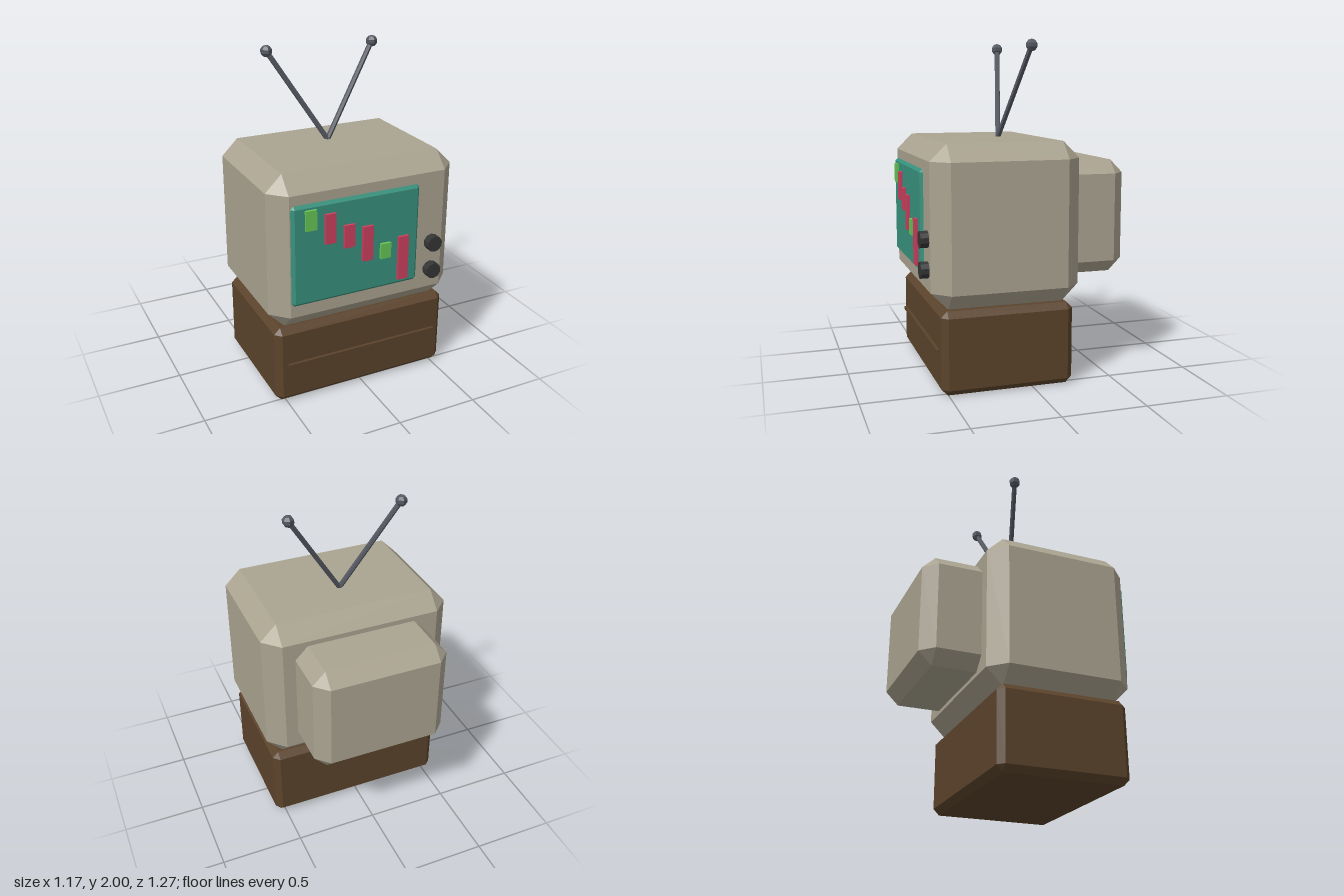
import * as THREE from 'three';
import { ConvexGeometry } from 'three/addons/geometries/ConvexGeometry.js';

const paint = (name, color) => {
  const m = new THREE.MeshStandardMaterial({ color, flatShading: true });
  m.name = name;
  return m;
};

// Box between two corners with every edge cut at 45 degrees
function chamferedBox(min, max, c) {
  const points = [];
  const mid = min.map((v, i) => (v + max[i]) / 2);
  const half = min.map((v, i) => (max[i] - v) / 2);
  for (const sx of [-1, 1]) for (const sy of [-1, 1]) for (const sz of [-1, 1]) {
    const s = [sx, sy, sz];
    for (let full = 0; full < 3; full++) {
      const p = s.map((sign, i) => mid[i] + sign * (half[i] - (i === full ? 0 : c)));
      points.push(new THREE.Vector3(...p));
    }
  }
  return new ConvexGeometry(points);
}

function plainBox(min, max) {
  const g = new THREE.BoxGeometry(...min.map((v, i) => max[i] - v));
  return g.translate(...min.map((v, i) => (v + max[i]) / 2));
}

export function createModel() {
  const model = new THREE.Group();
  model.name = 'television';

  const casing = paint('casing beige', 0xaaa390);
  const wood = paint('dark wood', 0x5b432b);
  const glass = paint('screen teal', 0x38917d);
  const red = paint('bar red', 0xcc4060);
  const green = paint('bar green', 0x66c655);
  const black = paint('knob black', 0x353535);
  const metal = paint('aerial grey', 0x555962);

  const add = (name, geometry, material, parent = model) => {
    const mesh = new THREE.Mesh(geometry, material);
    mesh.name = name;
    parent.add(mesh);
    return mesh;
  };

  // Wooden stand with a thin front rail
  add('stand', chamferedBox([-0.56, 0, -0.245], [0.56, 0.49, 0.54], 0.037), wood);
  add('standRail', plainBox([-0.49, 0.24, 0.5], [0.49, 0.26, 0.558]), wood);

  // Main cabinet and tube housing behind it
  add('cabinet', chamferedBox([-0.587, 0.49, -0.293], [0.587, 1.423, 0.587], 0.098), casing);
  add('tubeHousing', chamferedBox([-0.415, 0.612, -0.635], [0.415, 1.295, -0.1], 0.078), casing);

  // Screen, mostly sunk into the cabinet
  add('screen', chamferedBox([-0.483, 0.66, 0.5], [0.32, 1.267, 0.605], 0.018), glass);

  // Chart bars: bottom, top, material
  const bars = new THREE.Group();
  bars.name = 'chartBars';
  model.add(bars);
  [
    [1.12, 1.238, green], [1.02, 1.198, red], [0.973, 1.11, red],
    [0.867, 1.08, red], [0.857, 0.951, green], [0.698, 0.973, red],
  ].forEach(([low, high, material], i) => {
    const x = -0.373 + i * 0.117;
    add('chartBar', plainBox([x - 0.033, low, 0.595], [x + 0.033, high, 0.622]), material, bars);
  });

  // Control knobs
  for (const y of [0.885, 0.71]) {
    const knob = add('knob', new THREE.CylinderGeometry(0.049, 0.049, 0.07, 10), black);
    knob.rotation.x = Math.PI / 2;
    knob.position.set(0.418, y, 0.6);
  }

  // Aerial: two mirrored rods with ball tips
  const up = new THREE.Vector3(0, 1, 0);
  for (const side of [-1, 1]) {
    const foot = new THREE.Vector3(0, 1.42, 0.047);
    const tip = new THREE.Vector3(side * 0.342, 1.965, -0.052);
    const along = tip.clone().sub(foot);
    const rod = add('aerialRod', new THREE.CylinderGeometry(0.016, 0.016, along.length(), 6), metal);
    rod.position.copy(foot).add(tip).multiplyScalar(0.5);
    rod.quaternion.setFromUnitVectors(up, along.normalize());
    const ball = add('aerialTip', new THREE.SphereGeometry(0.036, 6, 5), metal);
    ball.position.copy(tip);
    ball.rotation.y = Math.PI / 6;
  }

  return model;
}
